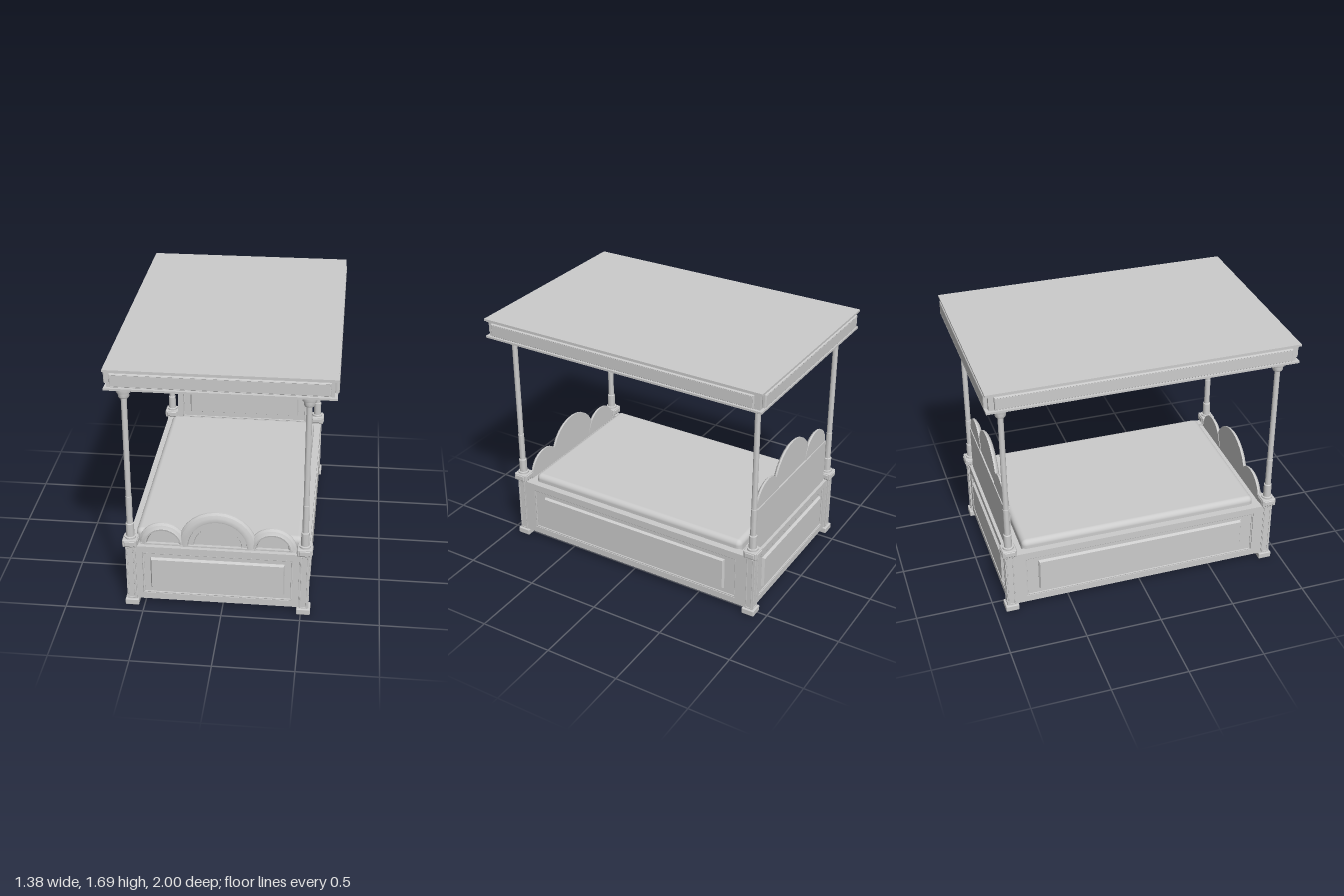
import * as THREE from 'three';
import { toCreasedNormals } from 'three/addons/utils/BufferGeometryUtils.js';
import { RoundedBoxGeometry } from 'three/addons/geometries/RoundedBoxGeometry.js';

const grey = new THREE.MeshStandardMaterial({ color: 0xcccccc, side: THREE.DoubleSide });

function add(parent, name, geometry, x = 0, y = 0, z = 0) {
  const mesh = new THREE.Mesh(geometry, grey);
  mesh.name = name;
  mesh.position.set(x, y, z);
  parent.add(mesh);
  return mesh;
}

const box = (w, h, d) => new THREE.BoxGeometry(w, h, d);

function rect(w, h, Type = THREE.Shape) {
  return new Type([[-1, -1], [1, -1], [1, 1], [-1, 1]]
    .map(([x, y]) => new THREE.Vector2(x * w / 2, y * h / 2)));
}

// Flat rectangular ring, extruded towards +z
function ring(w, h, iw, ih, depth, bevel = 0) {
  const shape = rect(w, h);
  shape.holes.push(rect(iw, ih, THREE.Path));
  return new THREE.ExtrudeGeometry(shape, {
    depth, bevelEnabled: bevel > 0, bevelSize: bevel, bevelOffset: -bevel,
    bevelThickness: bevel, bevelSegments: 2,
  });
}

// Raised field with sloping edges, rising from z = 0
function field(w, h, rise, slope) {
  return new THREE.ExtrudeGeometry(rect(w, h), {
    depth: 0.001, bevelEnabled: true, bevelSize: slope, bevelOffset: -slope,
    bevelThickness: rise, bevelSegments: 1,
  });
}

// Frame-and-panel board: face at z = 0, thickness behind it
function panelBoard(name, w, h, thick, recessW, recessH, fieldW, fieldH) {
  const g = new THREE.Group();
  g.name = name;
  const sunk = 0.012;
  add(g, 'boardFrame', ring(w, h, recessW, recessH, thick), 0, 0, -thick);
  add(g, 'recessMoulding', ring(recessW, recessH, recessW - 0.02, recessH - 0.02, 0.002, 0.003), 0, 0, -sunk + 0.003);
  add(g, 'recessedPanel', box(recessW, recessH, thick - sunk), 0, 0, -(thick + sunk) / 2);
  add(g, 'raisedField', field(fieldW, fieldH, 0.017, 0.009), 0, 0, -sunk);
  return g;
}

// Half-round arch turned from a profile, front towards +z, stepping inwards
function arch(parent, name, r, inner, innerStep, x, y, z) {
  const p = [[0, -0.022], [r, -0.022], [r, -0.01], [r - 0.012, 0.002], [r - 0.03, 0.01], [inner + 0.01, 0.013],
    [inner, 0.011], [inner - 0.004, -0.002], [innerStep + 0.004, -0.002], [innerStep, -0.01], [0, -0.01]];
  const geo = new THREE.LatheGeometry(p.map(([a, b]) => new THREE.Vector2(a, b)), 14, Math.PI / 2, Math.PI);
  geo.rotateX(Math.PI / 2);
  add(parent, name, toCreasedNormals(geo, 0.35), x, y, z);
  add(parent, name + 'Sill', box(2 * r - 0.02, 0.01, 0.03), x, y + 0.005, z - 0.005);
}

// Three arches: a large one between two small ones
function crest(name, y, z) {
  const g = new THREE.Group();
  g.name = name;
  arch(g, 'middleArch', 0.25, 0.19, 0.15, 0, y, z + 0.004);
  for (const s of [-1, 1]) arch(g, 'sideArch', 0.152, 0.108, 0.1, s * 0.346, y, z);
  return g;
}

// Corner post: foot, panelled pilaster, cap block, turned column
function bedPost(x, z) {
  const g = new THREE.Group();
  g.name = 'bedPost';
  g.position.set(x, 0, z);
  add(g, 'foot', new RoundedBoxGeometry(0.088, 0.042, 0.088, 2, 0.006), 0, 0.021, 0);
  add(g, 'pilaster', box(0.06, 0.395, 0.06), 0, 0.238, 0);
  for (let i = 0; i < 4; i++) {
    const side = new THREE.Group();
    side.name = 'postSide';
    side.rotation.y = i * Math.PI / 2;
    add(side, 'pilasterMoulding', ring(0.046, 0.385, 0.032, 0.37, 0.001, 0.002), 0, 0.238, 0.03);
    add(side, 'capPanel', field(0.07, 0.036, 0.004, 0.005), 0, 0.465, 0.045);
    g.add(side);
  }
  add(g, 'capBlock', new RoundedBoxGeometry(0.092, 0.052, 0.092, 2, 0.006), 0, 0.465, 0);
  const profile = [[0, 0.43], [0.036, 0.43], [0.036, 0.502], [0.026, 0.504], [0.026, 0.594], [0.02, 0.598],
    [0.02, 0.79], [0.018, 0.792], [0.018, 1.468], [0.03, 1.47], [0.034, 1.478], [0.034, 1.504],
    [0.044, 1.506], [0.046, 1.514], [0.046, 1.538], [0.043, 1.542], [0, 1.542]];
  const turned = new THREE.LatheGeometry(profile.map(([a, b]) => new THREE.Vector2(a, b)), 20);
  add(g, 'column', toCreasedNormals(turned, 0.5));
  return g;
}

function canopy() {
  const g = new THREE.Group();
  g.name = 'canopy';
  const flat = (name, geo, y) => { add(g, name, geo, 0, y, 0).rotation.x = -Math.PI / 2; };
  // Hollow underside framed by flanges and a deep border
  flat('lowerFlange', ring(1.36, 1.985, 1.04, 1.64, 0.013), 1.554);
  flat('border', ring(1.325, 1.945, 1.04, 1.64, 0.1), 1.566);
  flat('undersideMoulding', ring(1.04, 1.64, 1.0, 1.6, 0.012, 0.004), 1.596);
  add(g, 'ceiling', box(1.04, 0.06, 1.64), 0, 1.635, 0);
  flat('ceilingPanel', ring(0.84, 1.26, 0.82, 1.24, 0.006), 1.602);
  add(g, 'upperStep', box(1.345, 0.01, 1.965), 0, 1.668, 0);
  add(g, 'top', box(1.366, 0.014, 1.99), 0, 1.679, 0);
  // Raised moulding along each edge
  for (const [angle, len, off] of [[0, 1.285, 0.972], [1, 1.88, 0.662], [2, 1.285, 0.972], [3, 1.88, 0.662]]) {
    const side = new THREE.Group();
    side.name = 'canopySide';
    side.rotation.y = angle * Math.PI / 2;
    add(side, 'edgeMoulding', ring(len, 0.086, len - 0.028, 0.06, 0.012, 0.008), 0, 1.62, off + 0.006);
    g.add(side);
  }
  return g;
}

export function createModel() {
  const model = new THREE.Group();
  model.name = 'canopyBed';
  const bed = new THREE.Group();
  bed.name = 'bed';
  bed.position.set(-0.031, 0, 0.004);
  model.add(bed);

  // Posts at the corners
  for (const x of [-0.548, 0.548]) for (const z of [-0.892, 0.892]) bed.add(bedPost(x, z));

  // Panelled rails on all four sides
  const rails = [['footRail', 0, 1.04, 0.95, 0.852, 0.912], ['leftRail', 1, 1.73, 1.58, 1.41, 0.575],
    ['headRail', 2, 1.04, 0.95, 0.852, 0.912], ['rightRail', 3, 1.73, 1.58, 1.41, 0.575]];
  for (const [name, turn, w, recessW, fieldW, off] of rails) {
    const side = new THREE.Group();
    side.name = name + 'Side';
    side.rotation.y = turn * Math.PI / 2;
    const rail = panelBoard(name, w, 0.393, 0.055, recessW, 0.304, fieldW, 0.226);
    rail.position.set(0, 0.2385, off);
    side.add(rail);
    bed.add(side);
  }

  // Deck and mattress
  add(bed, 'deck', box(1.05, 0.17, 1.73), 0, 0.335, 0);
  add(bed, 'mattress', new RoundedBoxGeometry(1.06, 0.12, 1.6, 4, 0.035), 0, 0.43, 0.004);

  // Footboard crest
  bed.add(crest('footboardCrest', 0.435, 0.874));

  // Headboard with its crest
  const headboard = panelBoard('headboard', 1.0, 0.335, 0.036, 0.92, 0.276, 0.81, 0.186);
  headboard.position.set(0, 0.583, -0.856);
  bed.add(headboard);
  bed.add(crest('headboardCrest', 0.745, -0.864));

  model.add(canopy());
  return model;
}
